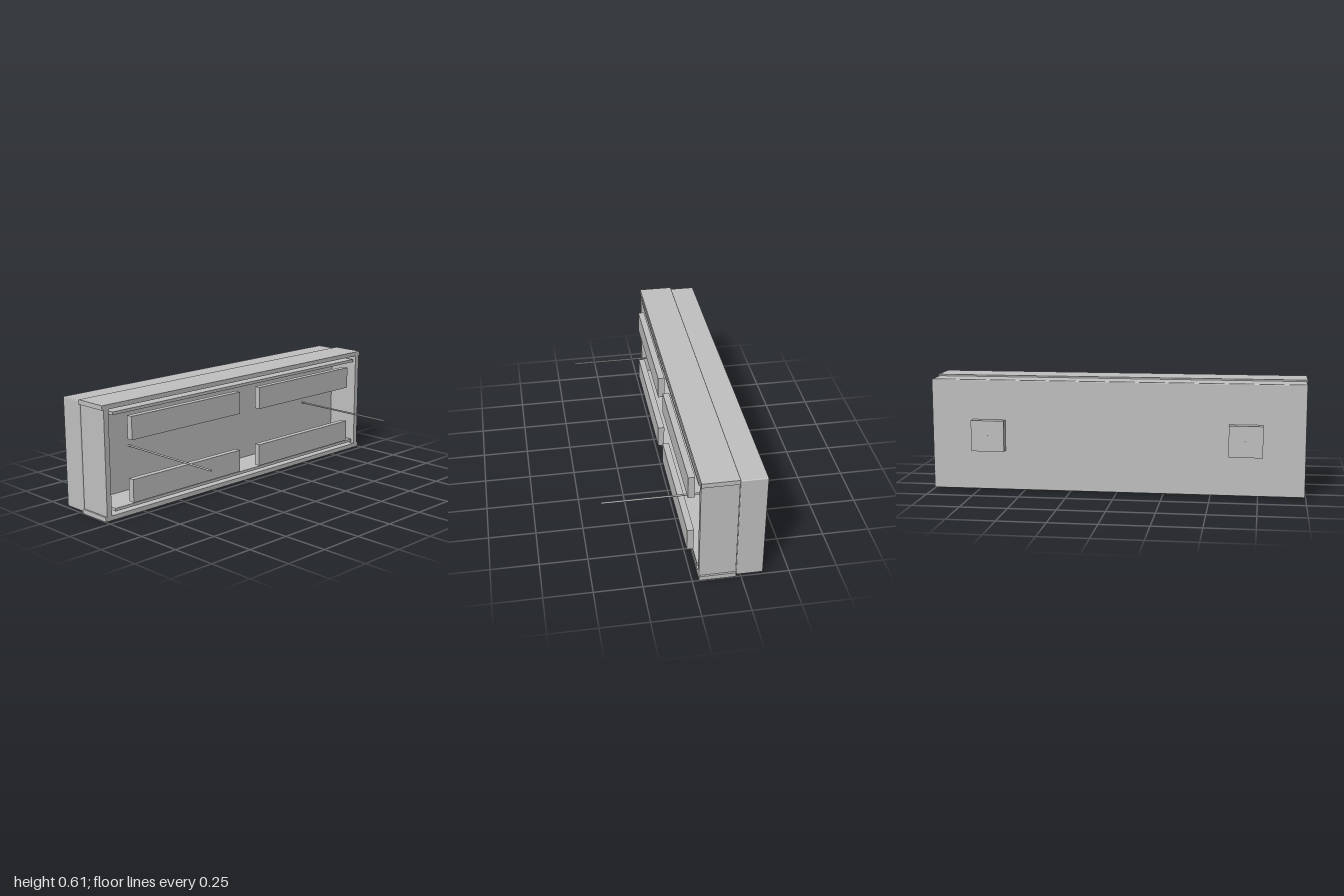
import * as THREE from 'three';
import { RoundedBoxGeometry } from 'three/addons/geometries/RoundedBoxGeometry.js';

export function createModel() {
  const model = new THREE.Group();
  const grey = new THREE.MeshStandardMaterial({ color: 0xc0c0c0 });
  grey.name = 'light grey';

  const add = (name, geometry) => {
    const mesh = new THREE.Mesh(geometry, grey);
    mesh.name = name;
    model.add(mesh);
    return mesh;
  };
  // Box given by its lower and upper limits on each axis
  const box = (name, x0, x1, y0, y1, z0, z1) =>
    add(name, new THREE.BoxGeometry(x1 - x0, y1 - y0, z1 - z0))
      .position.set((x0 + x1) / 2, (y0 + y1) / 2, (z0 + z1) / 2);
  // Thin round bar between two points
  const bar = (name, a, b, radius) => {
    const start = new THREE.Vector3(...a), end = new THREE.Vector3(...b);
    const dir = end.clone().sub(start);
    const mesh = add(name, new THREE.CylinderGeometry(radius, radius, dir.length(), 16));
    mesh.position.copy(start).add(end).multiplyScalar(0.5);
    mesh.quaternion.setFromUnitVectors(new THREE.Vector3(0, 1, 0), dir.normalize());
  };

  const MID = 0.305;

  // Closed rear body with softened edges
  add('rearBody', new RoundedBoxGeometry(0.138, 0.596, 1.992, 1, 0.006))
    .position.set(-0.296, MID, 0);

  // Open frame: top and bottom boards, with end panels set slightly inside
  box('bottomBoard', -0.225, -0.035, 0, 0.025, -1, 1);
  box('topBoard', -0.225, -0.035, 0.585, 0.61, -1, 1);
  for (const s of [-1, 1]) {
    const zs = [s * 0.96, s * 0.99].sort((a, b) => a - b);
    box('endPanel', -0.225, -0.035, 0.025, 0.585, ...zs);
  }

  for (const v of [-1, 1]) {
    // Inner shelves running along the top and bottom
    const shelfY = MID + v * 0.254;
    box('innerShelf', -0.228, -0.035, shelfY - 0.008, shelfY + 0.008, -0.935, 0.935);

    for (const s of [-1, 1]) {
      // Front pads
      const padY = MID + v * 0.167, padZ = s * 0.46;
      box('frontPad', -0.035, 0, padY - 0.062, padY + 0.062, padZ - 0.383, padZ + 0.383);
      // Slanted pins in the inner corners
      bar('slantedPin', [-0.228, MID + v * 0.208, s * 0.685], [-0.192, MID + v * 0.25, s * 0.685], 0.005);
    }
  }

  // Long rods and the square plates they pass through
  for (const s of [-1, 1]) {
    const z = s * 0.685;
    box('rearPlate', -0.41, -0.365, 0.222, 0.388, z - 0.089, z + 0.089);
    bar('longRod', [-0.415, MID, z], [0.415, MID, z], 0.005);
  }
  return model;
}
